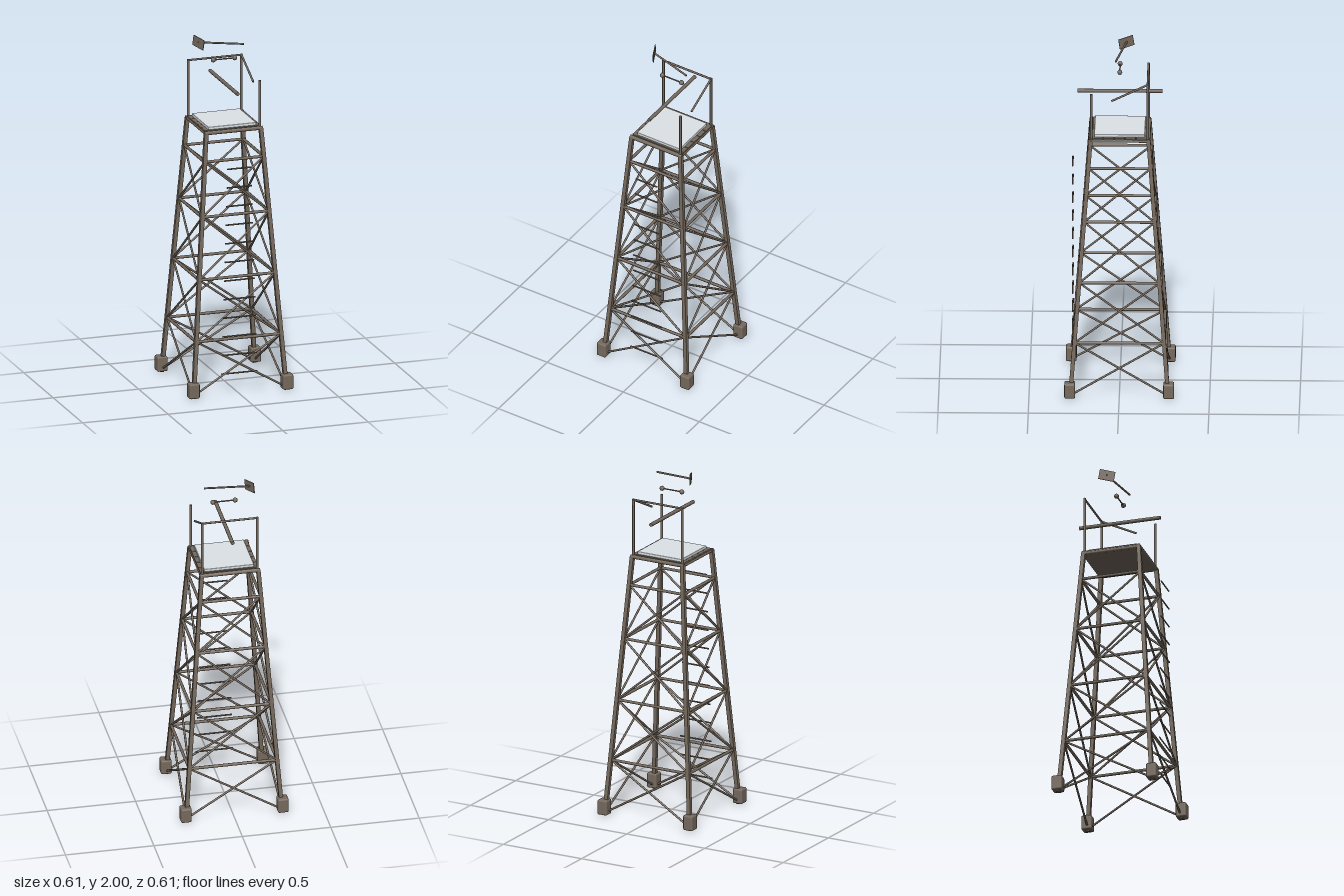
import * as THREE from 'three';
import { RoundedBoxGeometry } from 'three/addons/geometries/RoundedBoxGeometry.js';

const wood = new THREE.MeshStandardMaterial({ color: 0x766a5e });
wood.name = 'weathered wood';
const pale = new THREE.MeshStandardMaterial({ color: 0xe2e8ec });
pale.name = 'pale panel';

export function createModel() {
  const tower = new THREE.Group();
  tower.name = 'watchTower';

  const add = (name, geometry, x, y, z, material = wood) => {
    const mesh = new THREE.Mesh(geometry, material);
    mesh.name = name;
    mesh.position.set(x, y, z);
    tower.add(mesh);
    return mesh;
  };

  // Bar between two points: round, or square when a square width is given
  const bar = (name, from, to, r, { sides = 8, square = false } = {}) => {
    const a = new THREE.Vector3(...from);
    const b = new THREE.Vector3(...to);
    const dir = b.clone().sub(a);
    const mid = a.clone().add(b).multiplyScalar(0.5);
    const geometry = square
      ? new THREE.BoxGeometry(2 * r, dir.length(), 2 * r)
      : new THREE.CylinderGeometry(r, r, dir.length(), sides);
    const mesh = add(name, geometry, mid.x, mid.y, mid.z);
    mesh.quaternion.setFromUnitVectors(new THREE.Vector3(0, 1, 0), dir.normalize());
  };

  // Half width of the tapering tower at a height
  const half = (y) => 0.272 - (0.112 * y) / 1.5;

  // Square legs and bevelled footings
  for (const sx of [-1, 1]) {
    for (const sz of [-1, 1]) {
      const b = half(0), t = half(1.495);
      bar('leg', [sx * b, 0.004, sz * b], [sx * t, 1.495, sz * t], 0.0112, { square: true });
      add('footing', new RoundedBoxGeometry(0.06, 0.086, 0.06, 2, 0.009), sx * 0.274, 0.052, sz * 0.274);
    }
  }

  // Horizontal rings and crossed braces on all four faces
  const levels = [0.018, 0.322, 0.67, 1.023, 1.334];
  for (let face = 0; face < 4; face++) {
    const turn = (x, y, z) => {
      const p = new THREE.Vector3(x, y, z).applyAxisAngle(new THREE.Vector3(0, 1, 0), (face * Math.PI) / 2);
      return [p.x, p.y, p.z];
    };
    for (let i = 1; i < levels.length; i++) {
      const y0 = levels[i - 1], y1 = levels[i];
      const w0 = half(y0), w1 = half(y1);
      bar('ringBeam', turn(-w1, y1, w1), turn(w1, y1, w1), 0.0085);
      for (const s of [-1, 1]) {
        bar('crossBrace', turn(s * w0, y0, w0), turn(-s * w1, y1, w1), 0.006);
      }
    }
  }

  // Ladder rungs
  for (let i = 0; i < 12; i++) {
    const y = 0.125 + i * 0.1075;
    const w = 0.105 - (i / 11) * 0.035;
    bar('ladderRung', [-w, y, 0.261], [w, y, 0.261], 0.0045, { sides: 6 });
  }

  // Deck: base, planks, edge beams and pale cover
  add('deckBase', new THREE.BoxGeometry(0.325, 0.014, 0.325), 0, 1.493, 0);
  for (let i = -2; i <= 2; i++) {
    add('deckPlank', new THREE.BoxGeometry(0.328, 0.01, 0.057), 0, 1.504, i * 0.061);
  }
  for (const s of [-1, 1]) {
    bar('deckEdge', [-0.17, 1.496, s * 0.16], [0.17, 1.496, s * 0.16], 0.0115);
    bar('deckEdge', [s * 0.16, 1.493, -0.165], [s * 0.16, 1.493, 0.165], 0.009);
  }
  add('deckCover', new RoundedBoxGeometry(0.28, 0.018, 0.28, 2, 0.003), 0, 1.515, 0, pale);

  // Railing: three posts, back rail and fallen side rail
  const c = 0.156;
  bar('post', [-c, 1.495, -c], [-c, 1.832, -c], 0.0075);
  bar('post', [c, 1.495, -c], [c, 1.832, -c], 0.0075);
  bar('post', [c, 1.495, c], [c, 1.77, c], 0.0075);
  bar('backRail', [-0.162, 1.828, -c], [0.162, 1.828, -c], 0.006);
  bar('brokenRail', [c, 1.828, -c], [c, 1.73, 0.045], 0.006);

  // Loose beam above the deck
  bar('crossBeam', [0, 1.729, -0.235], [0, 1.729, 0.235], 0.0105, { sides: 10 });

  // Rod with a ball at each end
  bar('ballRod', [-0.063, 1.865, 0], [0.063, 1.865, 0], 0.004);
  for (const s of [-1, 1]) {
    add('ball', new THREE.SphereGeometry(0.014, 12, 8), s * 0.063, 1.865, 0);
  }

  // Wind vane: arm and tilted tail plate
  bar('vaneArm', [-0.14, 1.965, -0.035], [0.109, 1.947, 0.022], 0.0055);
  const tail = add('vaneTail', new THREE.BoxGeometry(0.004, 0.06, 0.088), -0.138, 1.963, -0.033);
  tail.rotation.set(0.17, 0.416, 0, 'YXZ');

  return tower;
}
